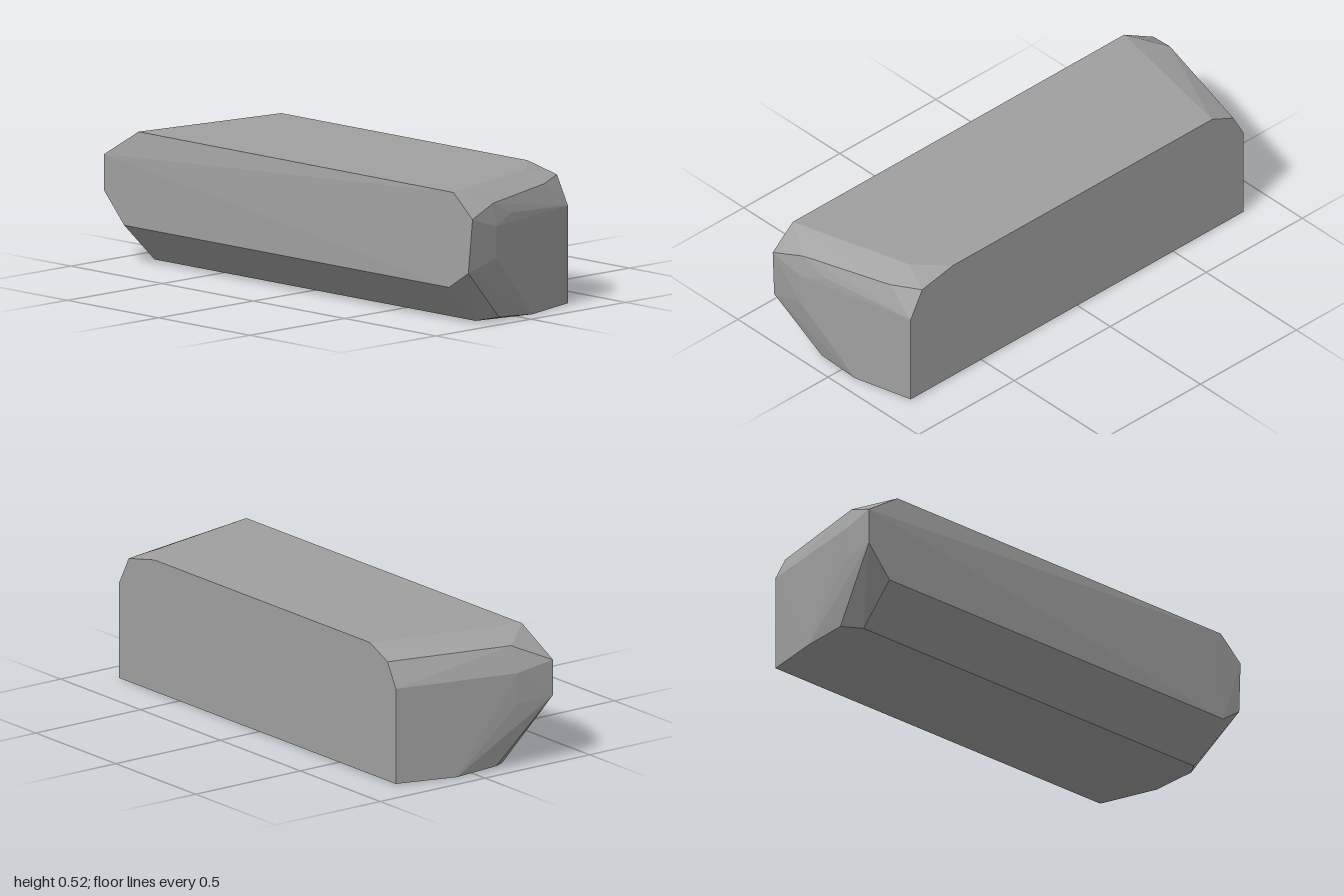
import * as THREE from 'three';
import { ConvexGeometry } from 'three/addons/geometries/ConvexGeometry.js';

const stone = new THREE.MeshStandardMaterial({ color: 0xa0a0a0, flatShading: true });
stone.name = 'stone grey';

// Chipped corners of each end of the slab: [x, y, z]
const frontEnd = [
  // top rim
  [-0.307, 0.515, 0.895], [0.2, 0.523, 0.765], [0.32, 0.525, 0.65],
  // upper bevel
  [-0.307, 0.424, 1], [-0.17, 0.466, 0.97], [0.2, 0.479, 0.865], [0.32, 0.492, 0.81],
  // end face
  [-0.17, 0.378, 0.986], [-0.06, 0.415, 0.957], [0.32, 0.38, 0.87],
  [-0.17, 0.255, 0.985], [-0.315, 0.215, 0.985],
  // bottom rim
  [-0.325, 0.15, 0.89], [-0.175, 0, 0.88], [-0.105, 0.013, 0.935],
  [0.075, 0, 0.93], [0.32, 0.003, 0.87],
];
const backEnd = [
  // top rim
  [-0.307, 0.517, -0.83], [0.32, 0.525, -0.7],
  // upper bevel
  [-0.325, 0.41, -1], [-0.17, 0.48, -0.94], [0.32, 0.475, -0.81],
  // end face
  [-0.17, 0.38, -0.98], [0.32, 0.38, -0.862],
  [-0.17, 0.255, -0.978], [-0.325, 0.27, -1],
  // bottom rim
  [-0.325, 0.15, -0.89], [-0.175, 0, -0.88], [-0.105, 0.013, -0.935],
  [0.075, 0, -0.925], [0.32, 0.003, -0.862],
];

export function createModel() {
  const group = new THREE.Group();
  group.name = 'stoneBlock';
  // Faceted block spanning both chipped ends
  const points = [...frontEnd, ...backEnd].map((p) => new THREE.Vector3(...p));
  const block = new THREE.Mesh(new ConvexGeometry(points), stone);
  block.name = 'block';
  group.add(block);
  return group;
}
